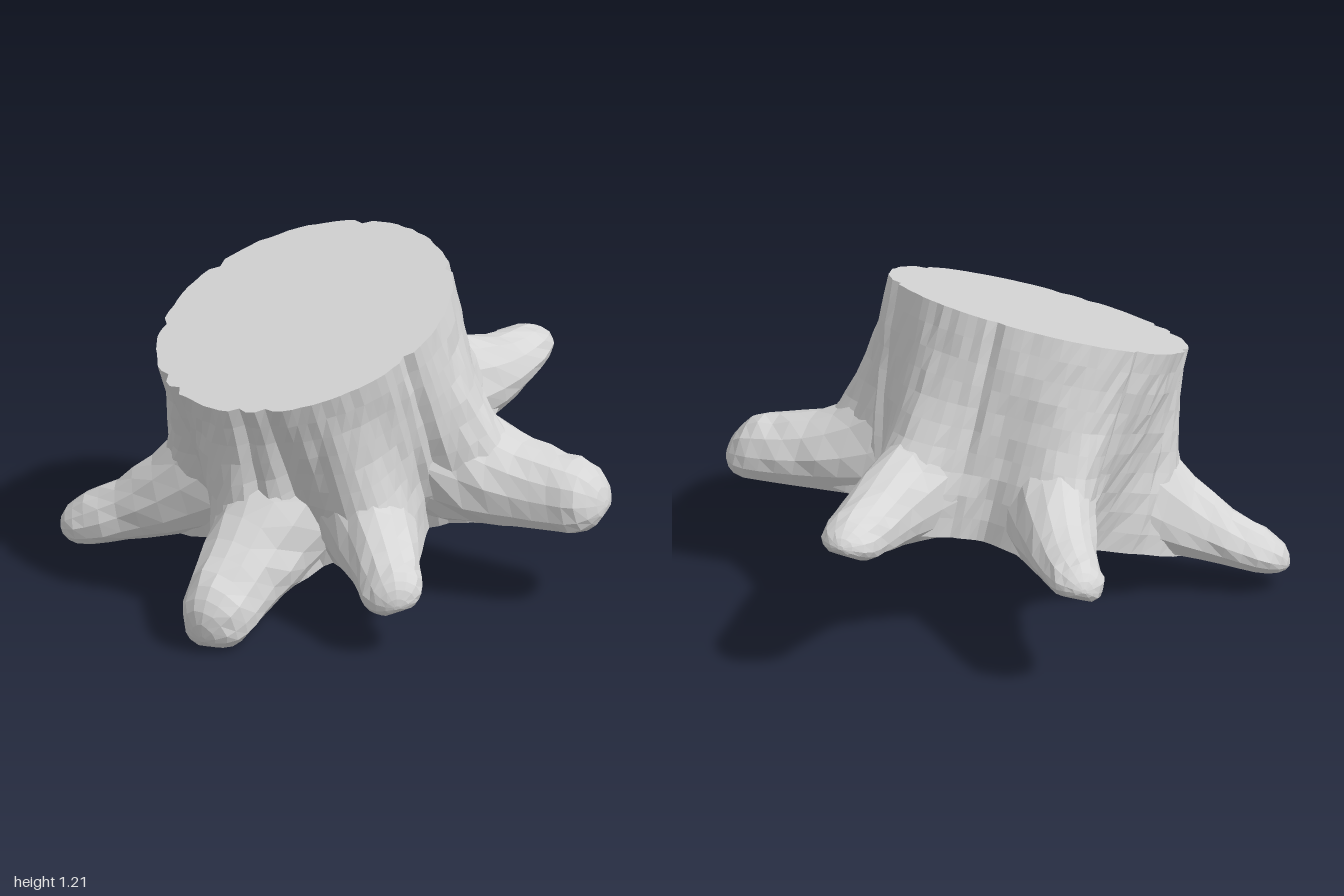
import * as THREE from 'three';

const TILT = 0.355, TOP = 0.77;

// Each root: plan path [x, z] from trunk to tip, half width, tip underside, tip top, steepness of its ridge,
// and the swelling it makes in the trunk: [angle, falloff with height, angular spread, size]
const ROOTS = [
  { name: 'frontRoot', path: [[0.1, 0.35], [0.21, 0.7], [0.32, 1.0]], width: 0.13, bottom: 0.03, top: 0.28, steep: 1.9, lobe: [0.2, 1.7, 0.36, 0.3] },
  { name: 'frontRightRoot', path: [[-0.25, 0.3], [-0.5, 0.57], [-0.75, 0.8]], width: 0.11, bottom: 0.03, top: 0.18, steep: 2, lobe: [-0.72, 2.1, 0.36, 0.25] },
  { name: 'backRightRoot', path: [[-0.33, -0.13], [-0.66, -0.31], [-0.91, -0.45]], width: 0.105, bottom: -0.09, top: 0.06, steep: 2.3, lobe: [-1.95, 3.2, 0.28, 0.26] },
  { name: 'backRoot', path: [[-0.03, -0.33], [-0.09, -0.68], [-0.24, -1.03]], width: 0.115, bottom: -0.15, top: -0.01, steep: 1.65, lobe: [-3.04, 3, 0.33, 0.24] },
  { name: 'backLeftRoot', path: [[0.3, -0.15], [0.61, -0.3], [0.895, -0.43]], width: 0.145, bottom: -0.12, top: 0.13, steep: 2.3, lobe: [2.02, 2.5, 0.35, 0.25] },
  { name: 'frontLeftRoot', path: [[0.3, 0.2], [0.6, 0.35], [0.8, 0.47]], width: 0.11, bottom: 0.03, top: 0.17, steep: 2, lobe: [1.04, 2.2, 0.3, 0.25] },
];

// Angles of the thin bark splits
const SPLITS = [-2.7, -1.62, -0.95, -0.4, -0.22, 0.42, 0.62, 1.62, 2.6];

function seeded(seed) {
  return () => {
    seed = (seed * 16807) % 2147483647;
    return seed / 2147483647 - 0.5;
  };
}

// Skin a list of closed rings, with a flat fan over each end
function loft(rings) {
  const pos = [], n = rings[0].length;
  const tri = (...pts) => pts.forEach((p) => pos.push(p.x, p.y, p.z));
  const centre = (ring) => ring.reduce((s, p) => s.add(p), new THREE.Vector3()).divideScalar(n);
  const first = rings[0], last = rings[rings.length - 1];
  const c0 = centre(first), c1 = centre(last);
  for (let j = 0; j < n; j++) {
    const k = (j + 1) % n;
    for (let i = 0; i < rings.length - 1; i++) {
      const a = rings[i], b = rings[i + 1];
      tri(a[j], a[k], b[k]);
      tri(a[j], b[k], b[j]);
    }
    tri(c0, first[k], first[j]);
    tri(c1, last[j], last[k]);
  }
  const geo = new THREE.BufferGeometry();
  geo.setAttribute('position', new THREE.Float32BufferAttribute(pos, 3));
  geo.computeVertexNormals();
  return geo;
}

const angleGap = (a, b) => Math.abs(Math.atan2(Math.sin(a - b), Math.cos(a - b)));

// Trunk: round at the cut, swelling into each root with deep creases between
function trunkGeometry() {
  const rand = seeded(71), rings = [], sides = 96, rows = 10;
  const rim = Array.from({ length: sides }, () => rand() * 0.008);
  for (let i = 0; i <= rows; i++) {
    const f = i / rows, s = 1 - f, ring = [];
    for (let j = 0; j < sides; j++) {
      const a = (j / sides) * Math.PI * 2;
      let r = 0;
      for (const { lobe: [angle, power, spread, size] } of ROOTS) {
        const near = Math.exp(-((angleGap(a, angle) / spread) ** 2));
        const swell = near * size * Math.min(s, 0.82) ** power;
        r = Math.max(r, 0.552 + swell - (1 - near) * 0.16 * s ** 1.5);
      }
      r += rim[j];
      if (SPLITS.some((g) => angleGap(a, g) < 0.033)) r -= 0.02;
      if (i > 0 && i < rows) r += rand() * 0.012;
      const x = Math.sin(a) * r, z = Math.cos(a) * r - 0.01 * f;
      const base = 0.07 * z - 0.01;
      ring.push(new THREE.Vector3(x, base + (TOP - base) * f, z));
    }
    rings.push(ring);
  }
  return loft(rings);
}

// Root: buttress that slopes from the trunk into a blunt, flat-bottomed toe
function rootGeometry({ path, width, bottom, top, steep }, seed) {
  const rand = seeded(seed), rings = [], sides = 14;
  const curve = new THREE.CatmullRomCurve3(path.map(([x, z]) => new THREE.Vector3(x, 0, z)));
  const steps = [0, 0.14, 0.28, 0.41, 0.53, 0.64, 0.74, 0.83, 0.9, 0.95, 0.985, 1];
  const up = new THREE.Vector3(0, 1, 0);
  for (const t of steps) {
    const p = curve.getPoint(t);
    const side = new THREE.Vector3().crossVectors(up, curve.getTangent(t)).normalize();
    const toe = t < 0.8 ? 1 : Math.sqrt(Math.max(0.01, 1 - ((t - 0.8) / 0.2) ** 2));
    const low = THREE.MathUtils.lerp(0.07 * p.z - 0.01, bottom, t);
    const high = top + (0.58 - top) * (1 - t) ** steep;
    const mid = low + (high - low) * 0.34;
    const half = width * (1 + 0.8 * (1 - t) ** 2) * toe;
    const ring = [];
    for (let j = 0; j < sides; j++) {
      const a = (j / sides) * Math.PI * 2, c = Math.cos(a), s = Math.sin(a);
      const rise = s > 0 ? (high - mid) * s : -(mid - low) * Math.min(1, -s * 1.25);
      const bump = 1 + rand() * 0.1;
      const q = p.clone().addScaledVector(side, half * c * bump);
      q.y = mid + rise * toe * (s > 0 ? bump : 1);
      ring.push(q);
    }
    rings.push(ring);
  }
  return loft(rings);
}

export function createModel() {
  const bark = new THREE.MeshStandardMaterial({ color: 0xd6d6d6 });
  bark.name = 'paleGrey';
  bark.flatShading = true;

  // The whole stump leans forward, as if on a slope
  const stump = new THREE.Group();
  stump.name = 'stump';
  stump.position.y = 0.29;
  stump.rotation.x = TILT;

  const add = (name, geometry) => {
    const mesh = new THREE.Mesh(geometry, bark);
    mesh.name = name;
    stump.add(mesh);
  };
  add('trunk', trunkGeometry());
  ROOTS.forEach((root, i) => add(root.name, rootGeometry(root, 101 + i * 37)));

  const model = new THREE.Group();
  model.name = 'treeStump';
  model.add(stump);
  return model;
}
